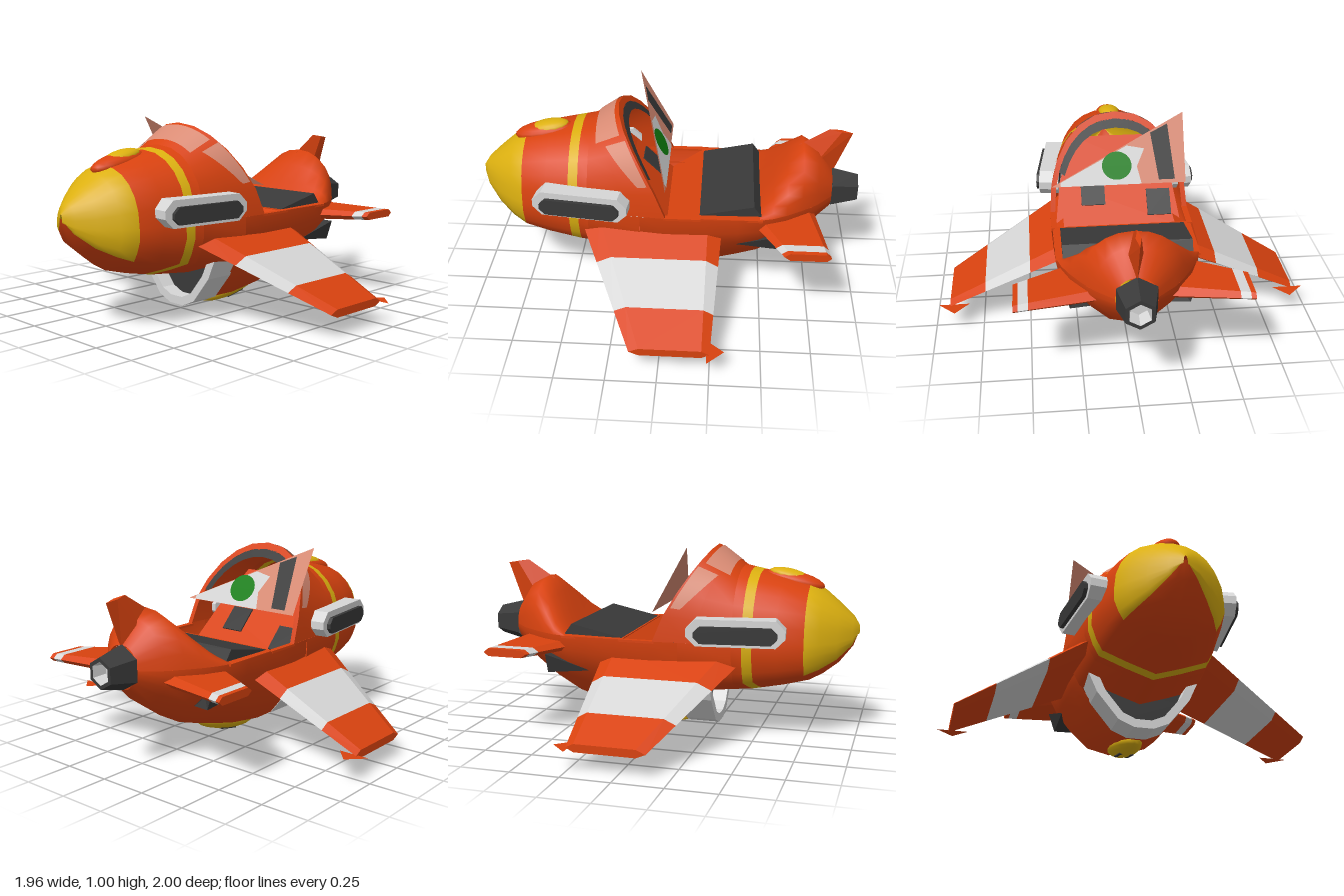
import * as THREE from 'three';

const mat = (name, color) => Object.assign(new THREE.MeshStandardMaterial({ color, side: THREE.DoubleSide }), { name });
const orange = mat('orange', 0xd8420f), yellow = mat('yellow', 0xdcb010), white = mat('white', 0xd6d6d6);
const dark = mat('darkGrey', 0x393939), pink = mat('pinkGlass', 0xd98b74), green = mat('green', 0x0f800f);
const MID = 0.52; // height of the body's widest line

function add(parent, name, geometry, material) {
  const m = new THREE.Mesh(geometry, material);
  m.name = name;
  parent.add(m);
  return m;
}

// Skin over rows of [x, y, z] points; pick(row, column) gives a material index
function loft(rows, { closed = false, flat = false, pick = () => 0 } = {}) {
  const n = rows[0].length, sets = [];
  for (let i = 0; i < rows.length - 1; i++) {
    for (let j = 0; j < (closed ? n : n - 1); j++) {
      const a = i * n + j, b = i * n + (j + 1) % n, c = a + n, d = b + n;
      (sets[pick(i, j)] ??= []).push(a, c, b, b, c, d);
    }
  }
  let g = new THREE.BufferGeometry();
  g.setAttribute('position', new THREE.Float32BufferAttribute(rows.flat(2), 3));
  g.setIndex(sets.flat());
  let start = 0;
  sets.forEach((s, k) => { g.addGroup(start, s.length, k); start += s.length; });
  if (flat) g = g.toNonIndexed();
  g.computeVertexNormals();
  return g;
}

// Half sections of the body, both running counter-clockwise seen from the front
const ARC = 12;
const upper = (z, w, top) => Array.from({ length: ARC + 1 }, (_, i) => {
  const t = Math.PI * i / ARC, c = Math.cos(t);
  return [w * Math.sign(c) * Math.abs(c) ** 0.92, MID + (top - MID) * Math.sin(t) ** 0.92, z];
});
const FRONT = [[1, 0], [1, 0.25], [0.92, 0.5], [0.83, 0.68], [0.42, 0.85], [0, 1]];
const REAR = [[1, 0], [0.98, 0.2], [0.86, 0.42], [0.66, 0.65], [0.36, 0.92], [0, 1]];
function lower(z, w, bottom, profile) {
  const half = profile.map(([x, y]) => [-x * w, MID - y * (MID - bottom), z]);
  return [...half, ...half.slice(0, -1).reverse().map(([x, y, q]) => [-x, y, q])];
}

// Canopy shell between the body section at z = 0.4 and the sloping cockpit rim
function rimPoint(angle, k = 1) {
  const x = 0.37 * Math.sign(Math.cos(angle)) * Math.abs(Math.cos(angle)) ** 0.92;
  const t = Math.max(0, Math.sin(angle)) ** 0.92 * k;
  return [x * k, MID + 0.465 * t, 0.26 * t ** 1.25];
}
function canopyPoint(angle, s, k = 1) {
  const r = rimPoint(angle);
  const base = [r[0] * 0.335 / 0.37, MID + (r[1] - MID) * 0.36 / 0.465, 0.4];
  const p = base.map((v, i) => v + (r[i] - v) * s);
  return [p[0] * k, MID + (p[1] - MID) * k, p[2]];
}
const fan = (from, to, fn, n = 12) => Array.from({ length: n + 1 }, (_, i) => fn(THREE.MathUtils.degToRad(from + (to - from) * i / n), i / n));

// Six-sided aerofoil section across x
const foil = (x, y, lead, trail, t) => {
  const a = lead - (lead - trail) * 0.12, b = trail + (lead - trail) * 0.1;
  return [[x, y, lead], [x, y + t / 2, a], [x, y + t / 2, b], [x, y, trail], [x, y - t / 2, b], [x, y - t / 2, a]];
};
function foilPanel(root, tip, stops) {
  const rows = stops.map(s => foil(...root.map((v, i) => v + (tip[i] - v) * (s - root[0]) / (tip[0] - root[0]))));
  rows.push(rows.at(-1).map(() => [tip[0], tip[1], (tip[2] + tip[3]) / 2]));
  return loft(rows, { closed: true, flat: true, pick: i => (i === 1 ? 1 : 0) });
}

function chamferedBar(length, height, depth) {
  const a = length / 2, h = height / 2, c = h * 0.7;
  const pts = [[a, h - c], [a - c, h], [c - a, h], [-a, h - c], [-a, c - h], [c - a, -h], [a - c, -h], [a, c - h]];
  return new THREE.ExtrudeGeometry(new THREE.Shape(pts.map(p => new THREE.Vector2(...p))), { depth, bevelEnabled: false });
}

function ellipsoid(parent, name, material, r, p, tilt = 0) {
  const m = add(parent, name, new THREE.SphereGeometry(1, 16, 10), material);
  m.scale.set(...r);
  m.position.set(...p);
  m.rotation.x = tilt;
}

function buildBody(g) {
  // Nose and front body, with yellow tip and band
  const front = [[1, 0.01, 0.56, 0.54], [0.97, 0.075, 0.625, 0.47], [0.9, 0.155, 0.7, 0.39], [0.82, 0.225, 0.765, 0.325],
    [0.75, 0.27, 0.8, 0.285], [0.62, 0.3, 0.835, 0.25], [0.5, 0.32, 0.86, 0.225], [0.45, 0.328, 0.87, 0.215], [0.4, 0.335, 0.88, 0.21]]
    .map(([z, w, top, bottom]) => {
      const ring = [...upper(z, w, top).slice(0, -1), ...lower(z, w, bottom, FRONT).slice(0, -1)];
      return z > 0.95 ? ring.map(([x, y, q]) => [x, y + 0.03 * (q - 0.95) / 0.05, q]) : ring;
    });
  const isUnder = j => j >= ARC + 3 && j <= ARC + 6;
  add(g, 'frontBody', loft(front, { closed: true, pick: (i, j) => (i === 6 || (i < 4 && !isUnder(j)) ? 1 : 0) }), [orange, yellow]);
  add(g, 'frontBelly', loft([lower(0.4, 0.335, 0.21, FRONT), lower(0.13, 0.36, 0.18, FRONT)]), orange);

  // Rear hull and tail hump
  const hull = [[0.13, 0.36, 0.03], [0, 0.37, 0.03], [-0.2, 0.37, 0.06], [-0.37, 0.365, 0.11], [-0.48, 0.355, 0.145],
    [-0.62, 0.3, 0.22], [-0.75, 0.215, 0.31], [-0.86, 0.1, 0.41]];
  add(g, 'rearHull', loft(hull.map(r => lower(...r, REAR))), orange);
  const hump = [[-0.48, 0.355, 0.525], [-0.55, 0.335, 0.615], [-0.62, 0.3, 0.705], [-0.7, 0.25, 0.785], [-0.78, 0.19, 0.745], [-0.86, 0.1, 0.63]];
  add(g, 'tailHump', loft(hump.map(r => upper(...r))), orange);

  // Nose bump
  ellipsoid(g, 'noseBumpBase', orange, [0.072, 0.045, 0.16], [0, 0.81, 0.66], 0.2);
  ellipsoid(g, 'noseBump', yellow, [0.06, 0.035, 0.11], [0, 0.833, 0.635], 0.2);
}

function buildCockpit(g) {
  add(g, 'canopy', loft([0, 0.5, 1].map(s => fan(0, 180, a => canopyPoint(a, s)))), orange);
  const pane = (name, from, to, s0, s1, end) => add(g, name, loft([
    fan(from, to, (a, t) => canopyPoint(a, s0 + (s1 - s0) * t, 1.012)), fan(from, to, a => canopyPoint(a, end, 1.012))]), pink);
  pane('frontWindow', 57, 123, 0.2, 0.2, 0.86);
  pane('leftWindow', 20, 52, 0.8, 0.45, 0.95);
  pane('rightWindow', 160, 128, 0.8, 0.45, 0.95);
  const rim = (name, a, b, from, to, m) => add(g, name, loft([a, b].map(k => fan(from, to, t => rimPoint(t, k)))), m);
  rim('canopyRim', 1, 0.93, 0, 180, orange);
  rim('rimPadding', 0.93, 0.84, 25, 155, dark);

  // Cockpit well, side ledges, rear deck and its cover
  const well = [[-0.17, 0.52, 0.345], [0, 0.4, 0.345], [0.2, 0.6, 0.31], [0.36, 0.8, 0.22]];
  add(g, 'cockpitWell', loft(well.map(([z, y, w]) => [[w, y, z], [-w, y, z]]), { flat: true }), orange);
  for (const s of [1, -1]) add(g, 'ledge', new THREE.BoxGeometry(0.03, 0.012, 0.19), orange).position.set(s * 0.355, 0.516, -0.085);
  add(g, 'rearDeck', new THREE.BoxGeometry(0.72, 0.012, 0.33), orange).position.set(0, 0.515, -0.33);
  const cover = [[0.17, 0.52], [0.45, 0.58], [0.49, 0.525]].map(p => new THREE.Vector2(...p));
  const plate = add(g, 'deckCover', new THREE.ExtrudeGeometry(new THREE.Shape(cover), { depth: 0.65, bevelEnabled: false }), dark);
  plate.rotation.y = Math.PI / 2;
  plate.position.x = -0.325;
  for (const [x, z] of [[-0.23, 0.1], [0.13, 0.15]]) {
    const m = add(g, 'dashPanel', new THREE.BoxGeometry(0.13, 0.008, 0.15), dark);
    m.position.set(x, 0.405 + z, z);
    m.rotation.x = -Math.PI / 4;
  }

  // Slanted triangular screen with a painted eye
  const screen = new THREE.Group();
  screen.name = 'eyeScreen';
  g.add(screen);
  const flatPart = (name, shape, lift, m) => {
    const geo = new THREE.ShapeGeometry(shape, 16);
    geo.applyMatrix4(new THREE.Matrix4().makeBasis(new THREE.Vector3(0.72, 0, 0), new THREE.Vector3(0, 0.33, 0.18), new THREE.Vector3(0, 0.48, -0.88)));
    geo.translate(-0.36, 0.67 + lift * 0.48, -lift * 0.88);
    geo.computeVertexNormals();
    add(screen, name, geo, m);
  };
  const poly = pts => new THREE.Shape(pts.map(p => new THREE.Vector2(...p)));
  flatPart('screen', poly([[0, 0], [1, 0], [0, 1]]), 0, pink);
  flatPart('eyeWhite', poly([[0.33, 0], [0.93, 0], [0.93, 0.06], [0.43, 0.55], [0.3, 0.5], [0.36, 0.25]]), 0.004, white);
  flatPart('eyeLid', poly([[0.08, 0.05], [0.2, 0.05], [0.25, 0.72], [0.12, 0.84]]), 0.004, dark);
  flatPart('iris', new THREE.Shape().absellipse(0.51, 0.27, 0.11, 0.2, 0, Math.PI * 2), 0.008, green);
}

function buildUnderside(g) {
  // Chin intake: open white rim with a dark back
  const outline = k => [[0.285, 0.3], [0.24, 0.2], [0.13, 0.065], [0.05, 0.03], [-0.05, 0.03], [-0.13, 0.065], [-0.24, 0.2], [-0.285, 0.3]]
    .map(([x, y]) => new THREE.Vector2(x * k, 0.3 + (y - 0.3) * k));
  const rim = new THREE.Shape(outline(1));
  rim.holes.push(new THREE.Path(outline(0.82).map(p => p.setY(p.y - 0.005))));
  add(g, 'intakeRim', new THREE.ExtrudeGeometry(rim, { depth: 0.16, bevelEnabled: false }), white).position.z = 0.12;
  add(g, 'intakeBack', new THREE.ShapeGeometry(new THREE.Shape(outline(0.9))), dark).position.z = 0.2;

  // Belly pod with dark slots
  ellipsoid(g, 'bellyPod', yellow, [0.08, 0.057, 0.23], [0, 0.075, -0.12], 0.2);
  for (const x of [-0.03, 0.03]) {
    const m = add(g, 'podSlot', new THREE.BoxGeometry(0.018, 0.008, 0.12), dark);
    m.position.set(x, 0.026, -0.13);
    m.rotation.x = 0.2;
  }
}

function buildTail(g) {
  // Fin: diamond section swept backwards
  const section = (fy, fz, by, bz, w) => [[0, by, bz], [w, (fy + by) / 2, (fz + bz) / 2], [0, fy, fz], [-w, (fy + by) / 2, (fz + bz) / 2]];
  const top = section(0.865, -0.83, 0.845, -0.95, 0.014);
  add(g, 'fin', loft([section(0.77, -0.68, 0.6, -0.86, 0.04), top, top.map(() => [0, 0.855, -0.89])], { closed: true, flat: true }), orange);

  // Six-sided nozzle with a pale hollow
  const lathe = (name, pts, m) => {
    const geo = new THREE.LatheGeometry(pts.map(p => new THREE.Vector2(...p)), 6).toNonIndexed();
    geo.computeVertexNormals();
    const mesh = add(g, name, geo, m);
    mesh.rotation.x = -Math.PI / 2;
    mesh.position.set(0, 0.522, -0.86);
  };
  lathe('nozzle', [[0.113, 0], [0.078, 0.14], [0.058, 0.14]], dark);
  lathe('nozzleHollow', [[0.058, 0.14], [0.045, 0.07], [0, 0.07]], white);
}

function buildSide(g) {
  add(g, 'wing', foilPanel([0.3, 0.41, 0.43, -0.29, 0.085], [0.92, 0.12, 0.14, -0.25, 0.04], [0.3, 0.49, 0.73, 0.92]), [orange, white]);
  const tip = new THREE.Shape([[0.82, 0.235], [0.98, 0.235], [0.895, 0.32]].map(p => new THREE.Vector2(...p)));
  const tipMesh = add(g, 'wingTipFlap', new THREE.ShapeGeometry(tip), orange);
  tipMesh.rotation.x = -Math.PI / 2;
  tipMesh.position.y = 0.12;
  add(g, 'tailplane', foilPanel([0.15, 0.46, -0.37, -0.765, 0.065], [0.572, 0.46, -0.6, -0.83, 0.04], [0.15, 0.5, 0.548, 0.572]), [orange, white]);

  // Side vent: white casing with a raised dark core
  const vent = new THREE.Group();
  vent.name = 'sideVent';
  vent.position.set(0.29, 0.588, 0.42);
  vent.rotation.y = Math.PI / 2 - 0.12;
  g.add(vent);
  add(vent, 'ventCasing', chamferedBar(0.49, 0.135, 0.105), white);
  add(vent, 'ventCore', chamferedBar(0.41, 0.085, 0.125), dark).position.y = -0.008;

  // Wedge outlet under the tailplane
  const back = [[0.335, 0.41, -0.6], [0.2, 0.41, -0.6], [0.2, 0.3, -0.58], [0.3, 0.305, -0.6]];
  add(g, 'outlet', loft([back.map(() => [0.3, 0.33, -0.36]), back, back.map(() => [0.26, 0.355, -0.57])], { closed: true, flat: true }), dark);
}

export function createModel() {
  const model = new THREE.Group();
  model.name = 'aircraft';
  const part = (name, build) => {
    const g = new THREE.Group();
    g.name = name;
    build(g);
    model.add(g);
    return g;
  };
  part('body', buildBody);
  part('cockpit', buildCockpit);
  part('underside', buildUnderside);
  part('tail', buildTail);
  part('leftSide', buildSide);
  part('rightSide', buildSide).scale.x = -1;
  return model;
}
